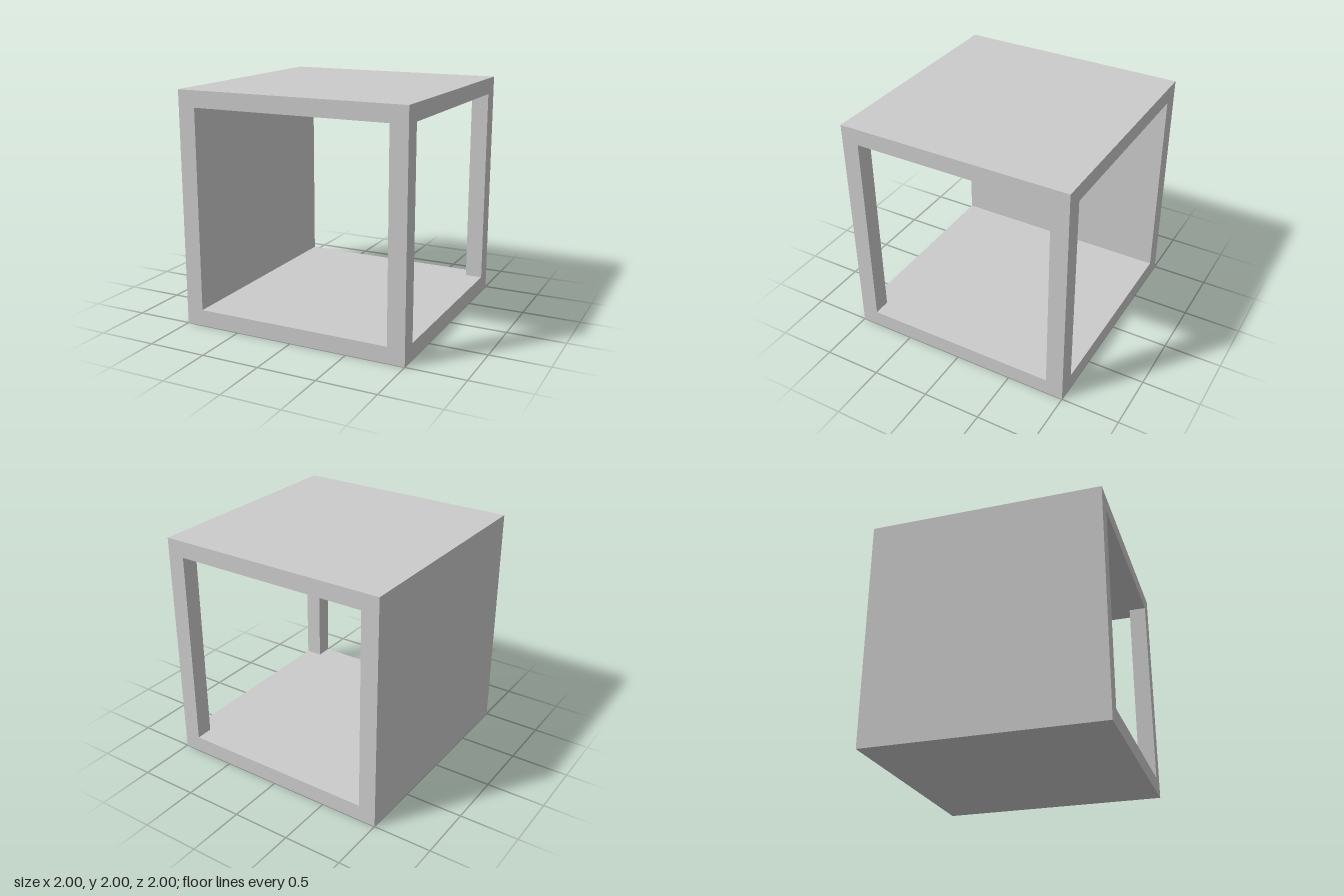
import * as THREE from 'three';

export function createModel() {
  const model = new THREE.Group();
  model.name = 'openCube';
  const material = new THREE.MeshStandardMaterial({ color: 0xcccccc, flatShading: true });
  const slab = 0.14; // floor and roof thickness
  const post = 0.15; // post and wall thickness
  const height = 2 - 2 * slab;

  function addBox(name, w, h, d, x, y, z) {
    const mesh = new THREE.Mesh(new THREE.BoxGeometry(w, h, d), material);
    mesh.name = name;
    mesh.position.set(x, y, z);
    model.add(mesh);
  }

  // Horizontal slabs
  addBox('floor', 2, slab, 2, 0, slab / 2, 0);
  addBox('roof', 2, slab, 2, 0, 2 - slab / 2, 0);

  // Solid wall on one side, two corner posts on the other
  const edge = 1 - post / 2;
  addBox('sideWall', post, height, 2, -edge, 1, 0);
  addBox('frontPost', post, height, post, edge, 1, edge);
  addBox('backPost', post, height, post, edge, 1, -edge);

  return model;
}
